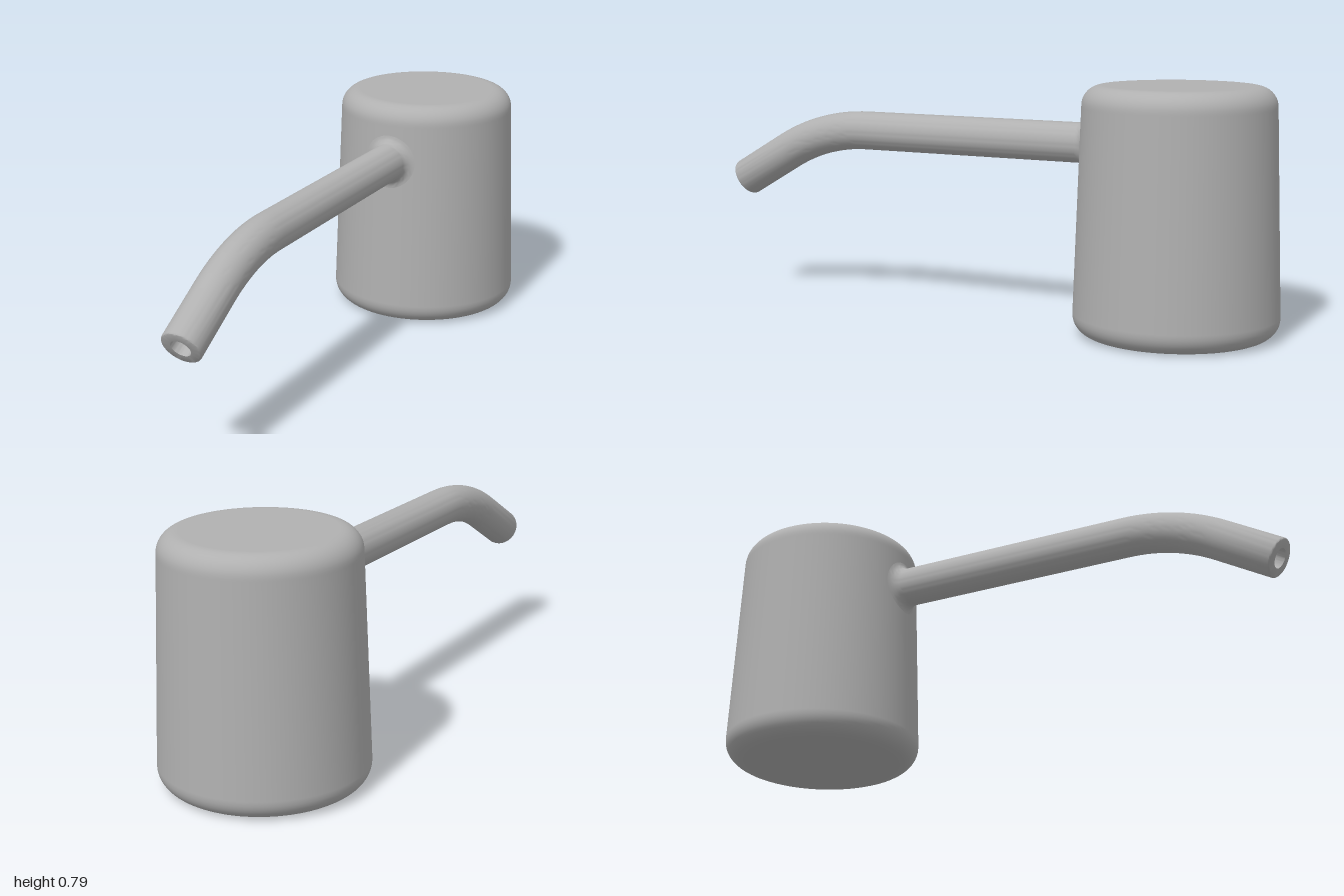
import * as THREE from 'three';
import { toCreasedNormals } from 'three/addons/utils/BufferGeometryUtils.js';

const BODY_Z = -0.675, HEIGHT = 0.785;
const PIPE_Y = 0.59, PIPE_R = 0.065, BORE_R = 0.033, BORE_DEPTH = 0.065;
const BEND_Z = 0.46, BEND_R = 0.64, BEND_ANGLE = Math.PI / 6, END_LENGTH = 0.214;

// Radius of the tapered wall at a given height
const wallRadius = (y) => 0.3255 - 0.0345 * (y - 0.06);

// Tapered canister with rounded top and bottom edges
function bodyGeometry() {
  const f = 0.063, pts = [[0, 0], [wallRadius(f) - f - 0.004, 0]];
  const fillet = (cy, from) => {
    for (let i = 0; i <= 10; i++) {
      const a = from + (i / 10) * Math.PI / 2;
      pts.push([wallRadius(cy) - f + f * Math.cos(a), cy + f * Math.sin(a)]);
    }
  };
  fillet(f, -Math.PI / 2);
  pts.push([wallRadius(f + 0.006), f + 0.006]);
  pts.push([wallRadius(HEIGHT - f - 0.006), HEIGHT - f - 0.006]);
  fillet(HEIGHT - f, 0);
  pts.push([wallRadius(HEIGHT - f) - f - 0.004, HEIGHT], [0, HEIGHT]);
  return new THREE.LatheGeometry(pts.map(([x, y]) => new THREE.Vector2(x, y)), 96);
}

// Bent pipe built from rings: flared root, bend, rounded lip and blind bore
function spoutGeometry() {
  const N = 48, rings = [];
  const addRing = (pointAt) => {
    const ring = [];
    for (let j = 0; j < N; j++) ring.push(pointAt((j / N) * Math.PI * 2));
    rings.push(ring);
  };

  // Flare that follows the round wall
  const flare = 0.028;
  for (let i = 0; i <= 6; i++) {
    const t = (i / 6) * Math.PI / 2;
    const r = PIPE_R + flare * (1 - Math.sin(t));
    addRing((a) => {
      const x = r * Math.cos(a), y = PIPE_Y + r * Math.sin(a);
      const z = BODY_Z + Math.sqrt(wallRadius(y) ** 2 - x * x) + flare * (1 - Math.cos(t));
      return new THREE.Vector3(x, y, z);
    });
  }

  // Ring square to the pipe, at bend angle t, moved s past that point
  const pipeRing = (t, s, r) => {
    const sin = Math.sin(t), cos = Math.cos(t);
    const cy = PIPE_Y - BEND_R * (1 - cos) - s * sin;
    const cz = BEND_Z + BEND_R * sin + s * cos;
    addRing((a) => new THREE.Vector3(
      r * Math.cos(a), cy + r * Math.sin(a) * cos, cz + r * Math.sin(a) * sin));
  };
  for (let i = 0; i <= 16; i++) pipeRing((i / 16) * BEND_ANGLE, 0, PIPE_R);

  // Rounded lip, rim and bore
  const lip = 0.007;
  for (let i = 0; i <= 4; i++) {
    const a = (i / 4) * Math.PI / 2;
    pipeRing(BEND_ANGLE, END_LENGTH - lip + lip * Math.sin(a), PIPE_R - lip + lip * Math.cos(a));
  }
  pipeRing(BEND_ANGLE, END_LENGTH, BORE_R);
  pipeRing(BEND_ANGLE, END_LENGTH - BORE_DEPTH, BORE_R);
  pipeRing(BEND_ANGLE, END_LENGTH - BORE_DEPTH, 0.0005);

  const index = [];
  for (let i = 0; i < rings.length - 1; i++) {
    for (let j = 0; j < N; j++) {
      const k = (j + 1) % N;
      const a = i * N + j, b = i * N + k, c = a + N, d = b + N;
      index.push(a, b, d, a, d, c);
    }
  }
  const geometry = new THREE.BufferGeometry().setFromPoints(rings.flat());
  geometry.setIndex(index);
  return toCreasedNormals(geometry, 0.6);
}

export function createModel() {
  const grey = new THREE.MeshStandardMaterial({ color: 0xb0b0b0 });
  grey.name = 'plain grey';

  const group = new THREE.Group();
  group.name = 'spoutedCanister';

  const body = new THREE.Mesh(bodyGeometry(), grey);
  body.name = 'body';
  body.position.z = BODY_Z;

  const spout = new THREE.Mesh(spoutGeometry(), grey);
  spout.name = 'spout';

  group.add(body, spout);
  return group;
}
